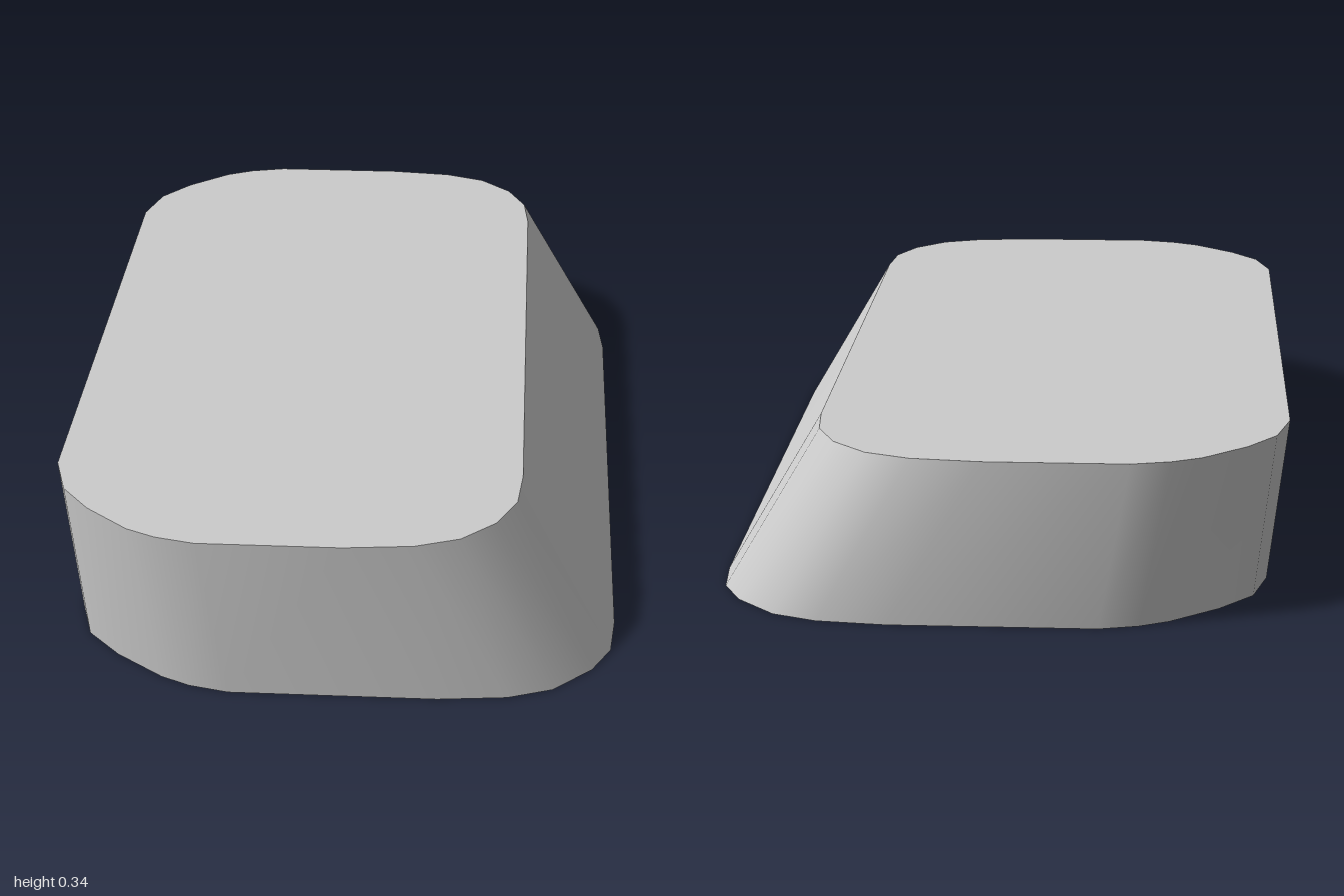
import * as THREE from 'three';
import { toCreasedNormals } from 'three/addons/utils/BufferGeometryUtils.js';

const HEIGHT = 0.34;

// Front half of each outline as [x, z], from the +x side round to the -x side
const TOP = [
  [0.38, 0.68], [0.37, 0.79], [0.33, 0.88], [0.26, 0.95], [0.17, 0.985], [0.03, 1],
  [-0.26, 1], [-0.34, 0.98], [-0.4, 0.95], [-0.49, 0.87], [-0.55, 0.79], [-0.58, 0.68],
];
const BOTTOM = [
  [0.58, 0.68], [0.57, 0.79], [0.53, 0.87], [0.45, 0.95], [0.36, 0.985], [0.22, 1],
  [-0.2, 1], [-0.28, 0.98], [-0.34, 0.95], [-0.44, 0.87], [-0.51, 0.79], [-0.54, 0.68],
];

// Closed ring: the half outline plus its mirror image across z
function ring(half, y) {
  const back = half.map(([x, z]) => [x, -z]).reverse();
  return [...half, ...back].map(([x, z]) => [x, y, z]);
}

// Solid between two rings, with a flat cap at each end
function loft(bottom, top) {
  const n = bottom.length;
  const points = [...bottom, ...top, [0, bottom[0][1], 0], [0, top[0][1], 0]];
  const index = [];
  for (let i = 0; i < n; i++) {
    const j = (i + 1) % n;
    index.push(i, n + i, j, j, n + i, n + j); // wall
    index.push(2 * n, i, j); // underside
    index.push(2 * n + 1, n + j, n + i); // top face
  }
  const geometry = new THREE.BufferGeometry();
  geometry.setAttribute('position', new THREE.Float32BufferAttribute(points.flat(), 3));
  geometry.setIndex(index);
  return toCreasedNormals(geometry, 0.6);
}

export function createModel() {
  const group = new THREE.Group();
  const material = new THREE.MeshStandardMaterial({ color: 0xcccccc });

  // Rounded slab with slanted sides
  const slab = new THREE.Mesh(loft(ring(BOTTOM, 0), ring(TOP, HEIGHT)), material);
  slab.name = 'slab';
  group.add(slab);
  return group;
}
